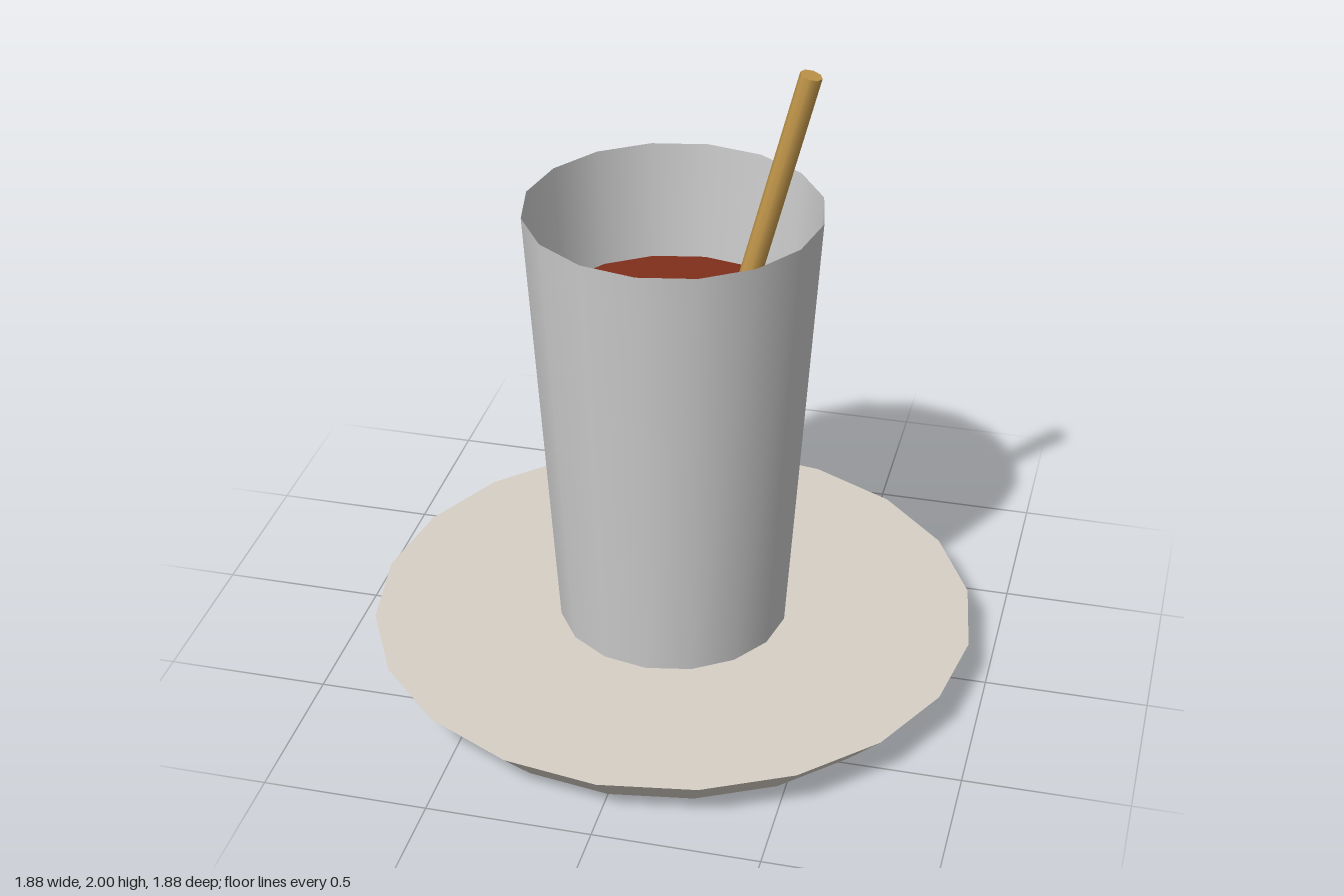
import * as THREE from 'three';

export function createModel() {
  const group = new THREE.Group();
  const add = (name, geometry, color, side = THREE.FrontSide) => {
    const mesh = new THREE.Mesh(geometry, new THREE.MeshStandardMaterial({ color, side }));
    mesh.name = name;
    group.add(mesh);
    return mesh;
  };

  // Flared saucer with a flat top
  const saucerHeight = 0.135;
  add('saucer', new THREE.CylinderGeometry(0.94, 0.81, saucerHeight, 20), 0xd6d0c6)
    .position.y = saucerHeight / 2;

  // Thin tapered glass, open at the top
  const rimY = 1.53;
  const glassHeight = rimY - saucerHeight;
  add('glass', new THREE.CylinderGeometry(0.447, 0.357, glassHeight, 16, 1, true), 0xcccccc, THREE.DoubleSide)
    .position.y = saucerHeight + glassHeight / 2;

  // Drink filling the glass up to its surface
  const drinkTop = 1.16, drinkBottom = 0.15;
  add('drink', new THREE.CylinderGeometry(0.414, 0.345, drinkTop - drinkBottom, 16), 0x802e1b)
    .position.y = (drinkTop + drinkBottom) / 2;

  // Stirring stick leaning towards +x, its lower end in the drink
  const stickTop = new THREE.Vector3(0.397, 1.99, 0);
  const stickLength = 1.6, tilt = 0.25;
  const stick = add('stirringStick', new THREE.CylinderGeometry(0.033, 0.033, stickLength, 8), 0xc1964a);
  stick.rotation.z = -tilt;
  stick.position.set(
    stickTop.x - Math.sin(tilt) * stickLength / 2,
    stickTop.y - Math.cos(tilt) * stickLength / 2,
    0
  );

  return group;
}
